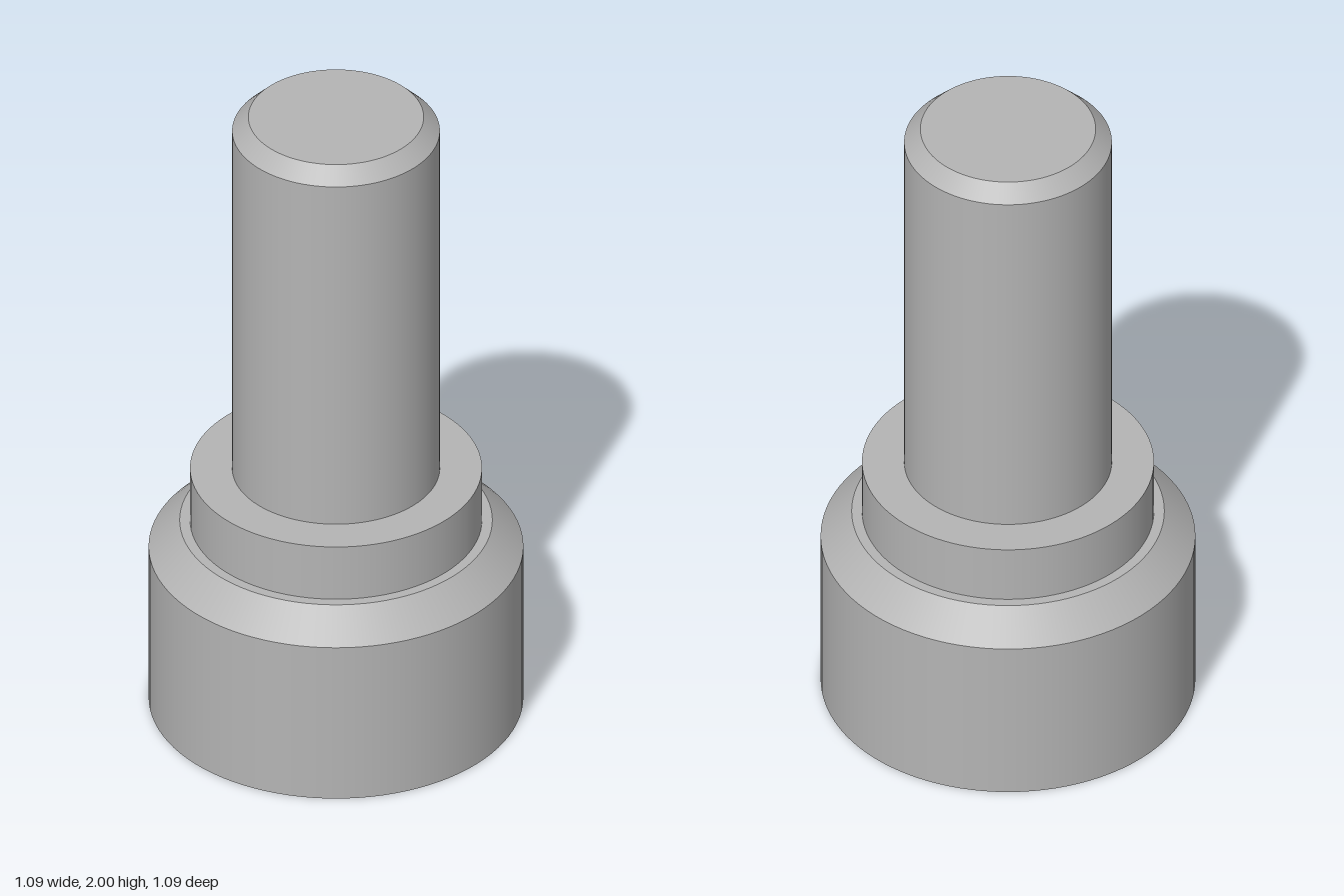
import * as THREE from 'three';
import { mergeGeometries } from 'three/addons/utils/BufferGeometryUtils.js';

const SIDES = 96;

// Revolves each profile segment on its own, so edges stay sharp and walls smooth
function turned(name, profile, material) {
  const bands = profile.slice(1).map((end, i) =>
    new THREE.LatheGeometry([profile[i], end].map(([r, y]) => new THREE.Vector2(r, y)), SIDES));
  const mesh = new THREE.Mesh(mergeGeometries(bands), material);
  mesh.name = name;
  return mesh;
}

export function createModel() {
  const steel = new THREE.MeshStandardMaterial({ color: 0xb4b4b4 });
  steel.name = 'grey steel';

  const group = new THREE.Group();
  group.name = 'steppedPin';
  group.add(
    // wide base with a chamfered shoulder
    turned('base', [[0, 0], [0.543, 0], [0.543, 0.52], [0.453, 0.61], [0.423, 0.61]], steel),
    // collar with a flat ledge around the shaft
    turned('collar', [[0.423, 0.61], [0.423, 0.79], [0.301, 0.79]], steel),
    // shaft with a chamfered tip
    turned('shaft', [[0.301, 0.79], [0.301, 1.953], [0.254, 2], [0, 2]], steel),
  );
  return group;
}
